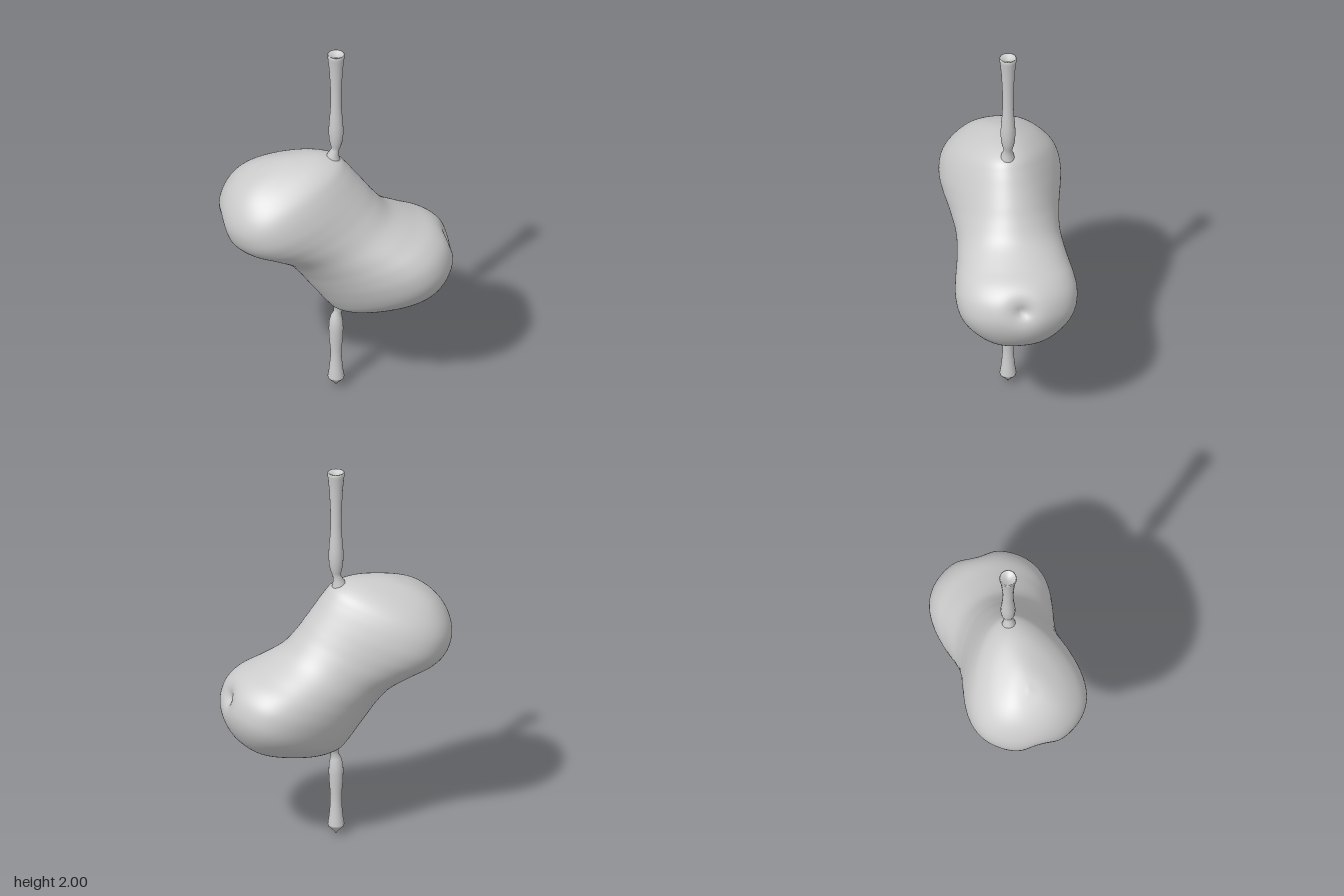
import * as THREE from 'three';
import { mergeVertices } from 'three/addons/utils/BufferGeometryUtils.js';

const MID = 0.93; // height of the body's centre
const TILT = 0.39; // slope of the waist between the two lobes

// Upper lobe, sections parallel to the waist: height, right edge, left edge, half depth
const SECTIONS = [
  [0, 0.298, -0.298, 0.26], [0.1, 0.262, -0.377, 0.274], [0.18, 0.243, -0.447, 0.294],
  [0.256, 0.224, -0.48, 0.305], [0.337, 0.204, -0.48, 0.295], [0.402, 0.178, -0.457, 0.264],
  [0.46, 0.107, -0.413, 0.208], [0.502, 0.003, -0.356, 0.145], [0.527, -0.09, -0.281, 0.08],
  [0.536, -0.19, -0.19, 0],
];

function smoothed(geometry) {
  geometry.deleteAttribute('uv');
  geometry.deleteAttribute('normal');
  const merged = mergeVertices(geometry, 1e-5);
  merged.computeVertexNormals();
  return merged;
}

// Two-lobed body: a sphere grid re-laid onto egg-shaped sections, then tilted
function bodyGeometry() {
  const upper = SECTIONS.map(([v, r, l, w]) => [v, (r + l) / 2, (r - l) / 2, w]);
  const lower = upper.slice(1).reverse().map(([v, c, h, w]) => [-v, -c, h, w]);
  const rows = [...lower, ...upper];
  const spline = (pick) => new THREE.CatmullRomCurve3(rows.map(pick), false, 'catmullrom', 0.5);
  const centres = spline(([v, c]) => new THREE.Vector3(c, v, 0));
  const sizes = spline(([, , h, w]) => new THREE.Vector3(h, w, 0));
  const geo = new THREE.SphereGeometry(1, 128, 110);
  const { position, uv } = geo.attributes;
  for (let i = 0; i < position.count; i++) {
    const t = uv.getY(i);
    const a = uv.getX(i) * Math.PI * 2;
    const c = centres.getPoint(t);
    const s = sizes.getPoint(t);
    const cos = Math.cos(a);
    // Sections are fuller at the outer end and narrow towards the stem
    const egg = Math.tanh(c.y / 0.2);
    const fullness = (1 + 0.35 * egg * cos + 0.08 * cos * cos) / (1 + 0.06 * egg * egg);
    const z = Math.sin(a) * s.y * fullness;
    let x = c.x - cos * s.x;
    // Dimple with a swollen rim at the outer end of each lobe
    const side = Math.sign(x);
    if (side * c.y < 0) {
      const d2 = (c.y + side * 0.31) ** 2 + z * z;
      const reach = THREE.MathUtils.smoothstep(Math.abs(x), 0.2, 0.42);
      x += side * reach * (0.025 * Math.exp(-d2 / 0.03)
        - 0.035 * Math.exp(-d2 / 0.006) - 0.018 * Math.exp(-d2 / 0.0008));
    }
    position.setXYZ(i, x, c.y, z);
  }
  return smoothed(geo).rotateZ(TILT).translate(0, MID, 0);
}

// Turned stem whose root leans sideways into the body
function stemGeometry(profile, rootY, lean) {
  const geo = new THREE.LatheGeometry(profile.map(([r, y]) => new THREE.Vector2(r, y)), 20);
  const p = geo.attributes.position;
  for (let i = 0; i < p.count; i++) {
    const k = Math.max(0, 1 - Math.abs(p.getY(i) - rootY) / 0.09);
    p.setX(i, p.getX(i) + lean * k * k);
  }
  return smoothed(geo);
}

export function createModel() {
  const group = new THREE.Group();
  const material = new THREE.MeshStandardMaterial({ color: 0xcccccc });
  const add = (name, geometry) => {
    const mesh = new THREE.Mesh(geometry, material);
    mesh.name = name;
    group.add(mesh);
  };

  add('body', bodyGeometry());

  // Upper stem with a flared, slightly dished end
  add('upperStem', stemGeometry([
    [0.04, 1.35], [0.03, 1.395], [0.021, 1.425], [0.025, 1.445], [0.034, 1.48],
    [0.038, 1.53], [0.036, 1.58], [0.031, 1.64], [0.028, 1.7], [0.029, 1.8],
    [0.034, 1.9], [0.041, 1.97], [0.044, 1.985], [0.043, 1.998], [0.038, 2],
    [0.03, 1.992], [0.015, 1.988], [0, 1.975],
  ], 1.37, -0.03));

  // Lower stem ending in a short point
  add('lowerStem', stemGeometry([
    [0, 0], [0.012, 0.018], [0.04, 0.046], [0.042, 0.056], [0.035, 0.1], [0.029, 0.17],
    [0.029, 0.22], [0.034, 0.28], [0.037, 0.34], [0.036, 0.38], [0.028, 0.42],
    [0.02, 0.445], [0.028, 0.468], [0.04, 0.51],
  ], 0.49, 0.03));

  return group;
}
